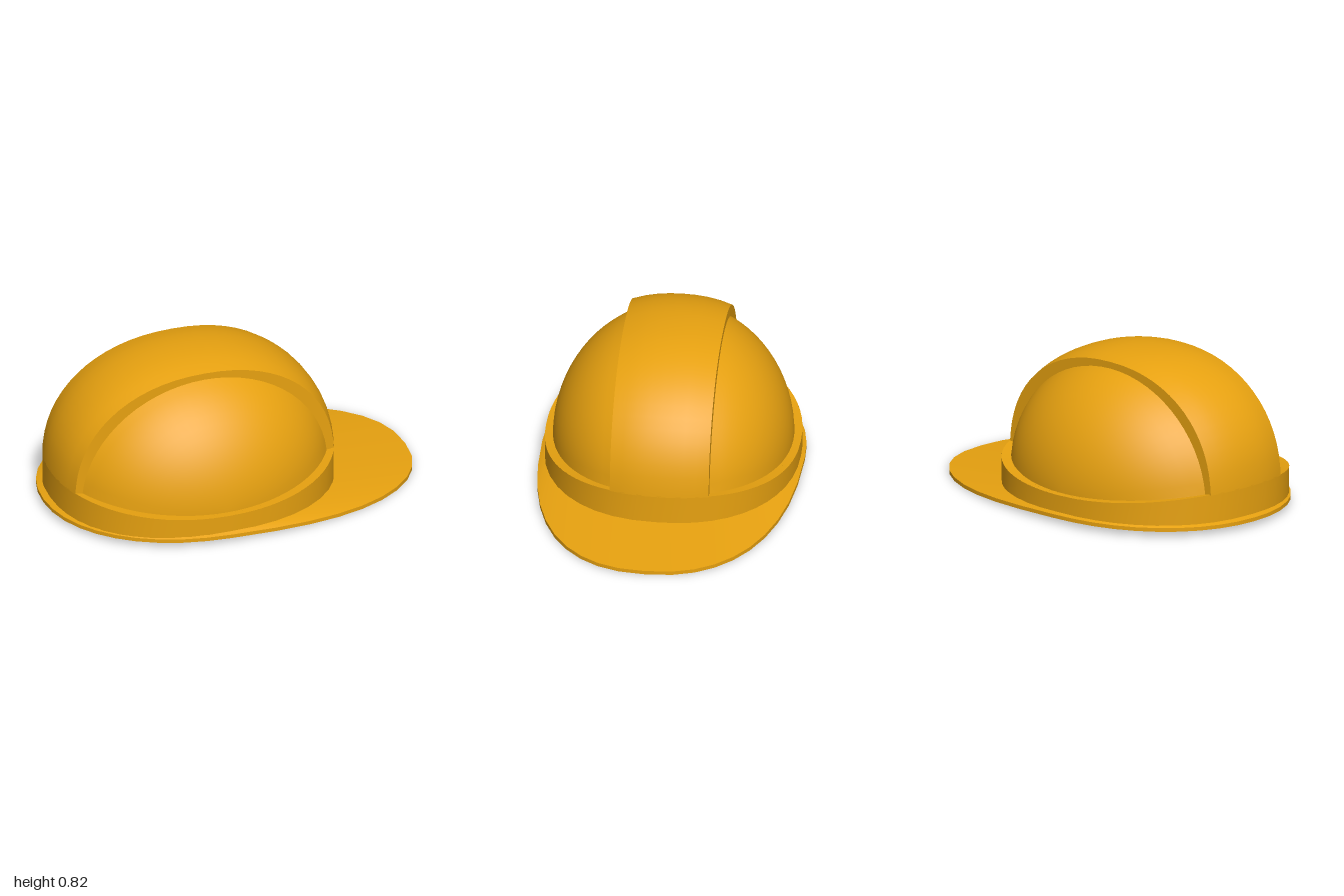
import * as THREE from 'three';
import { mergeVertices } from 'three/addons/utils/BufferGeometryUtils.js';

const CX = -0.2;            // crown centre in x
const W = 0.26;             // half width of the raised centre band
const OUT = { rx: 0.765, ry: 0.65, rz: 0.67, cy: 0.17, n: 2.2 };
const OUT_IN = { rx: 0.735, ry: 0.62, rz: 0.64, cy: 0.17, n: 2.2 };
const DOME = { rx: 0.75, ry: 0.665, rz: 0.63, cy: 0.14, n: 2 };
const DOME_IN = { rx: 0.72, ry: 0.635, rz: 0.6, cy: 0.14, n: 2 };

const lerp = THREE.MathUtils.lerp;
const pw = (v, n) => Math.sign(v) * Math.pow(Math.abs(v), 2 / n);
// height of the ledge that runs around the base ring
const ledge = x => 0.148 + 0.06 * ((x - CX) / 0.73) ** 2;

// point on a shell: a sweeps over the top along x, z is the slice
function shell(s, a, z, drop = 0.005) {
  const k = Math.pow(Math.max(0, 1 - Math.pow(Math.abs(z) / s.rz, s.n)), 1 / s.n);
  const x = CX + s.rx * k * pw(Math.cos(a), s.n);
  const y = s.cy + s.ry * k * pw(Math.max(0, Math.sin(a)), s.n);
  return [x, Math.max(y, ledge(x) - drop), z];
}

// plan outline of a shell at angle t
const plan = (s, t) => [CX + s.rx * pw(Math.cos(t), s.n), s.rz * pw(Math.sin(t), s.n)];

// plan outline of the brim: round at the back, long at the visor end
function brimPlan(t) {
  const front = Math.cos(t) > 0;
  return plan({ rx: front ? 1.2 : 0.8, rz: 0.69, n: front ? 2.35 : 2.1 }, t);
}
const brimTop = x => lerp(0.048, 0.02, THREE.MathUtils.smoothstep(x, -0.4, 0.8));

export function createModel() {
  const model = new THREE.Group();
  model.name = 'hardHat';
  const yellow = new THREE.MeshStandardMaterial({ color: 0xe8a210, side: THREE.DoubleSide });
  yellow.name = 'safety yellow';

  // smooth sheet from f(u, v) -> [x, y, z]; skew turns the crown slightly
  function sheet(name, nu, nv, f, skew = 0.02) {
    const pos = [], idx = [];
    for (let i = 0; i <= nu; i++) for (let j = 0; j <= nv; j++) {
      const p = f(i / nu, j / nv);
      pos.push(p[0], p[1], p[2] - skew * (p[0] - CX));
      if (i < nu && j < nv) {
        const a = i * (nv + 1) + j, b = a + nv + 1;
        idx.push(a, a + 1, b, b, a + 1, b + 1);
      }
    }
    let g = new THREE.BufferGeometry();
    g.setAttribute('position', new THREE.Float32BufferAttribute(pos, 3));
    g.setIndex(idx);
    g = mergeVertices(g, 1e-5);
    g.computeVertexNormals();
    const m = new THREE.Mesh(g, yellow);
    m.name = name;
    model.add(m);
  }
  const TAU = Math.PI * 2;

  // raised centre band, outside and inside (wound oppositely)
  sheet('centreBand', 32, 8, (u, v) => shell(OUT, Math.PI * u, lerp(-W, W, v)));
  sheet('centreBandInside', 32, 8, (u, v) => shell(OUT_IN, Math.PI * u, lerp(W, -W, v)));

  for (const s of [1, -1]) {
    const side = s > 0 ? 'left' : 'right';
    // recessed dome panels
    for (const [d, label] of [[DOME, 'DomePanel'], [DOME_IN, 'DomePanelInside']]) {
      const p0 = Math.asin(W / d.rz);
      sheet(side + label, 32, 14, (u, v) =>
        shell(d, Math.PI * u, s * d.rz * Math.sin(lerp(p0, Math.PI / 2, v))));
    }
    // step between the band and the panel
    sheet(side + 'BandStep', 32, 1, (u, v) =>
      shell(v ? DOME_IN : OUT, Math.PI * u, s * W));
    // ledge between the base ring and the panel
    const start = d => Math.asin(Math.pow(W / d.rz, d.n / 2));
    sheet(side + 'Ledge', 28, 1, (u, v) => {
      const d = v ? DOME_IN : OUT, t0 = start(d);
      const [x, z] = plan(d, lerp(t0, Math.PI - t0, u));
      return [x, ledge(x), s * z];
    });
  }

  // base ring walls
  for (const [d, label] of [[OUT, 'baseRing'], [OUT_IN, 'baseRingInside']]) {
    sheet(label, 48, 1, (u, v) => {
      const [x, z] = plan(d, TAU * u);
      return [x, v ? ledge(x) : 0.035, z];
    });
  }

  // brim with visor: top, edge and underside
  const outer = (u, drop) => {
    const [x, z] = brimPlan(TAU * u);
    return [x, brimTop(x) - drop, z];
  };
  const inner = (d, u, y) => {
    const [x, z] = plan(d, TAU * u);
    return [x, y, z];
  };
  sheet('brimTop', 40, 1, (u, v) => v ? outer(u, 0) : inner(OUT, u, 0.056), 0);
  sheet('brimEdge', 40, 1, (u, v) => outer(u, 0.02 * v), 0);
  sheet('brimUnderside', 40, 1, (u, v) => v ? inner(OUT_IN, u, 0.03) : outer(u, 0.02), 0);

  return model;
}
